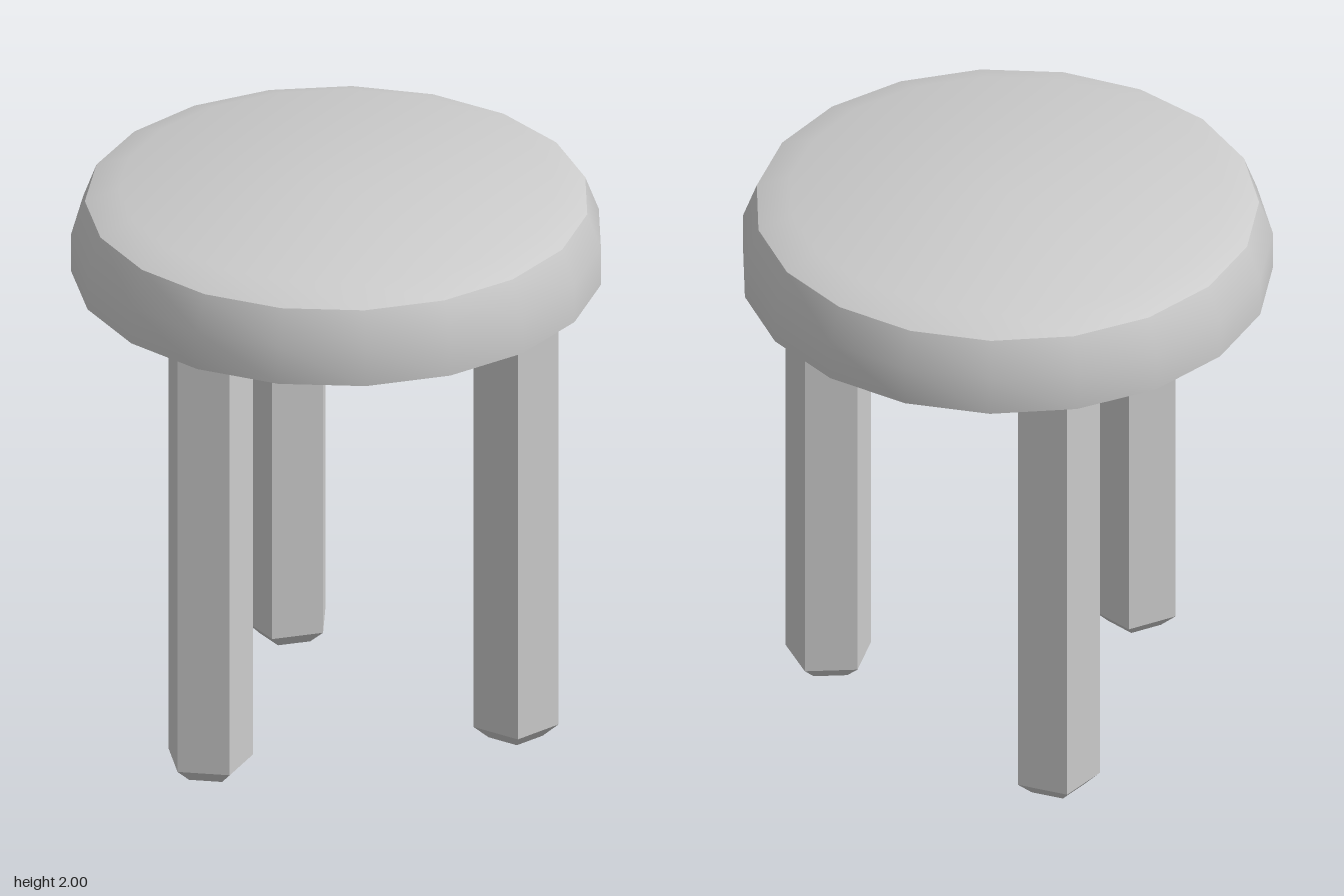
import * as THREE from 'three';
import { toCreasedNormals } from 'three/addons/utils/BufferGeometryUtils.js';

// Revolve a profile of [radius, height] pairs, listed from bottom to top
const lathe = (profile, sides, start = 0) => new THREE.LatheGeometry(
  profile.map(([r, y]) => new THREE.Vector2(r, y)), sides, start);

export function createModel() {
  const stool = new THREE.Group();
  stool.name = 'stool';
  const axisZ = 0.006; // the odd-sided seat sits slightly off its bounding-box centre

  // Round seat with a bevelled rim and softly domed top, one corner at the back
  const seatProfile = [[0, 1.69], [0.907, 1.69], [0.907, 1.83], [0.86, 1.955], [0.745, 2], [0, 2]];
  const seat = new THREE.Mesh(
    toCreasedNormals(lathe(seatProfile, 19, Math.PI), 0.7),
    new THREE.MeshStandardMaterial({ color: 0xcccccc }));
  seat.name = 'seat';
  seat.position.z = axisZ;
  stool.add(seat);

  // Three five-sided legs with tapered feet, each with a corner pointing outwards
  const legGeometry = lathe([[0, 0], [0.097, 0], [0.153, 0.05], [0.153, 1.7], [0, 1.7]], 5);
  const legMaterial = new THREE.MeshStandardMaterial({ color: 0xcccccc, flatShading: true });
  ['backLeg', 'leftLeg', 'rightLeg'].forEach((name, i) => {
    const angle = Math.PI - i * Math.PI * 2 / 3;
    const leg = new THREE.Mesh(legGeometry, legMaterial);
    leg.name = name;
    leg.position.set(0.625 * Math.sin(angle), 0, axisZ + 0.625 * Math.cos(angle));
    leg.rotation.y = angle;
    stool.add(leg);
  });

  return stool;
}
